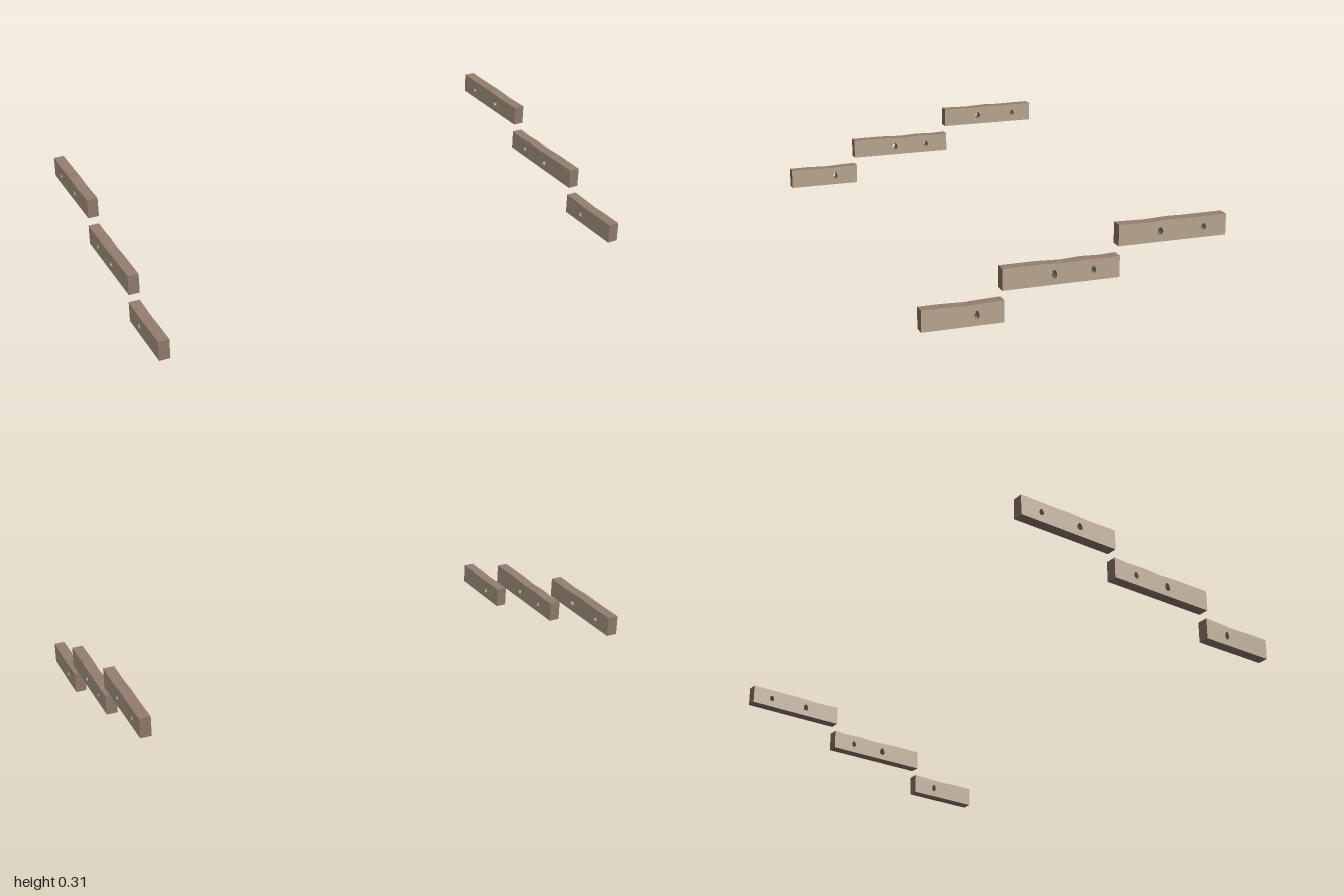
import * as THREE from 'three';

const THICK = 0.043;

// Each plank: front z, back z, bottom y, top-edge points [z, y] from back to front,
// and egg-shaped holes [z, y, width, height]
const PLANKS = [
  { name: 'lowerPlank', front: 0.577, back: 0.273, bottom: 0,
    top: [[0.273, 0.082], [0.34, 0.08], [0.41, 0.077], [0.49, 0.08], [0.577, 0.08]],
    holes: [[0.375, 0.04, 0.02, 0.031]] },
  { name: 'middlePlank', front: 0.281, back: -0.162, bottom: 0.117,
    top: [[-0.162, 0.197], [-0.1, 0.194], [-0.03, 0.197], [0.05, 0.193], [0.14, 0.197], [0.281, 0.197]],
    holes: [[0.088, 0.155, 0.023, 0.033], [-0.062, 0.156, 0.019, 0.027]] },
  { name: 'upperPlank', front: -0.156, back: -0.578, bottom: 0.232,
    top: [[-0.578, 0.311], [-0.42, 0.31], [-0.37, 0.312], [-0.27, 0.308], [-0.156, 0.311]],
    holes: [[-0.318, 0.271, 0.023, 0.029], [-0.489, 0.271, 0.02, 0.025]] },
];

// Egg outline, narrower toward the top
function eggHole(z, y, w, h) {
  const points = [];
  for (let i = 0; i < 12; i++) {
    const a = -(i / 12) * Math.PI * 2;
    const taper = 1 - 0.2 * Math.sin(a);
    points.push(new THREE.Vector2(-z + Math.cos(a) * taper * w / 2, y + Math.sin(a) * h / 2));
  }
  return new THREE.Path(points);
}

// Side profile drawn with -z to the right, then turned to face along x
function plankGeometry({ front, back, bottom, top, holes }) {
  const outline = [[front, bottom], [back, bottom], ...top];
  const shape = new THREE.Shape(outline.map(([z, y]) => new THREE.Vector2(-z, y)));
  shape.holes = holes.map((hole) => eggHole(...hole));
  return new THREE.ExtrudeGeometry(shape, { depth: THICK, bevelEnabled: false })
    .rotateY(Math.PI / 2)
    .translate(-THICK / 2, 0, 0);
}

export function createModel() {
  const group = new THREE.Group();
  group.name = 'steppedPlanks';
  const faceWood = new THREE.MeshStandardMaterial({ color: 0xc4b19a });
  const edgeWood = new THREE.MeshStandardMaterial({ color: 0x957f70 });

  // Matching row of rising planks on each side
  for (const plank of PLANKS) {
    const geometry = plankGeometry(plank);
    for (const side of [1, -1]) {
      const mesh = new THREE.Mesh(geometry, [faceWood, edgeWood]);
      mesh.name = plank.name + (side > 0 ? 'Left' : 'Right');
      mesh.position.x = side * (1 - THICK / 2);
      group.add(mesh);
    }
  }
  return group;
}
